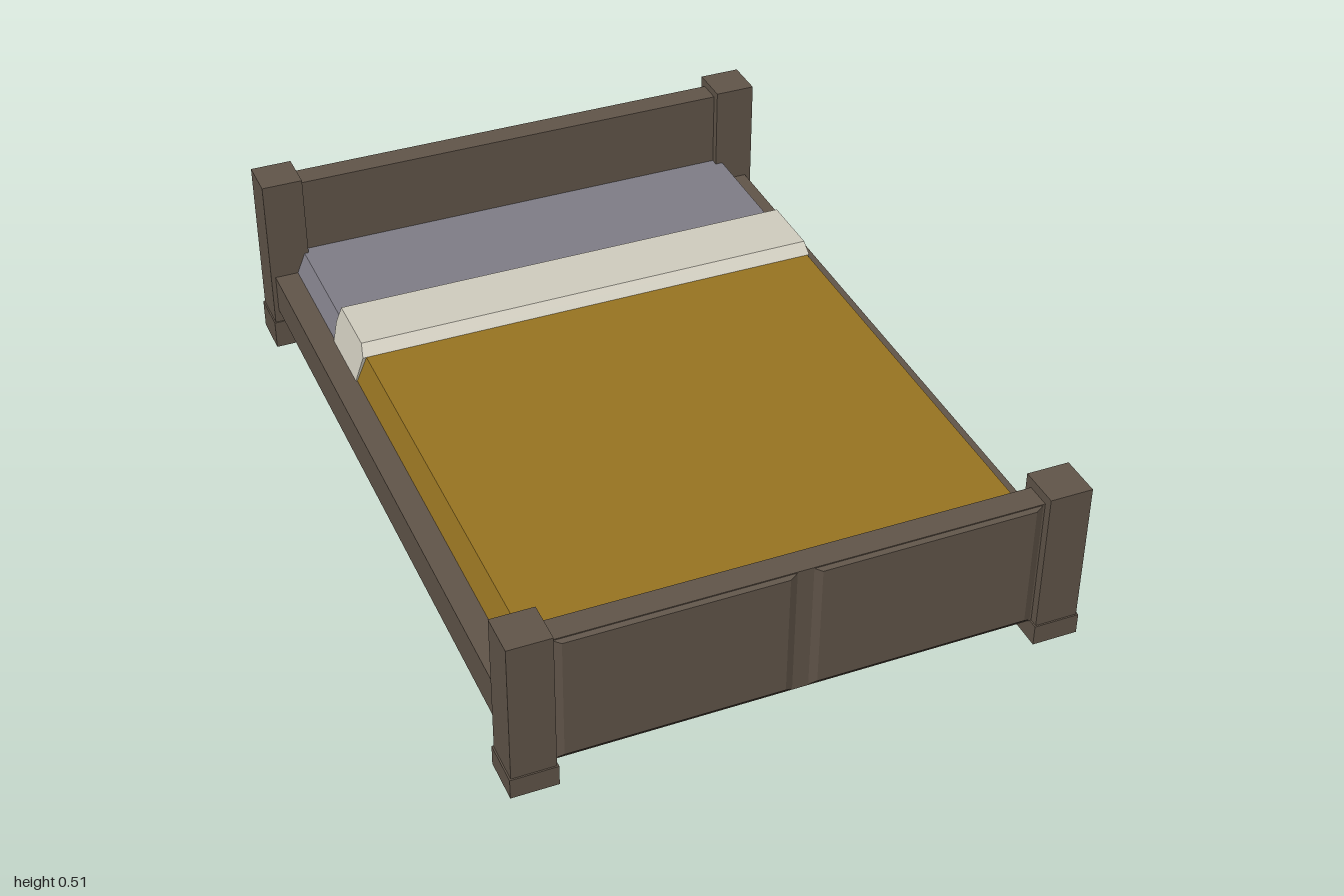
import * as THREE from 'three';

const wood = new THREE.MeshStandardMaterial({ color: 0x62564a });
const blanketOchre = new THREE.MeshStandardMaterial({ color: 0x997522 });
const sheetGrey = new THREE.MeshStandardMaterial({ color: 0x807e88 });
const linenCream = new THREE.MeshStandardMaterial({ color: 0xd2cec0 });
for (const [m, n] of [[wood, 'wood'], [blanketOchre, 'blanket ochre'], [sheetGrey, 'sheet grey'], [linenCream, 'linen cream']]) m.name = n;

// Box given by its limits
function box(name, mat, [x0, x1], [y0, y1], [z0, z1]) {
  const g = new THREE.BoxGeometry(x1 - x0, y1 - y0, z1 - z0);
  g.translate((x0 + x1) / 2, (y0 + y1) / 2, (z0 + z1) / 2);
  const mesh = new THREE.Mesh(g, mat);
  mesh.name = name;
  return mesh;
}

// Move every vertex by a rule and refresh the flat normals
function reshape(mesh, rule) {
  const p = mesh.geometry.attributes.position;
  const v = new THREE.Vector3();
  for (let i = 0; i < p.count; i++) {
    rule(v.fromBufferAttribute(p, i));
    p.setXYZ(i, v.x, v.y, v.z);
  }
  mesh.geometry.computeVertexNormals();
  return mesh;
}

// Square post standing in a slightly wider hollow foot
function post(name, x, z, height, footHeight) {
  const group = new THREE.Group();
  group.name = name;
  group.add(box('postShaft', wood, [x - 0.055, x + 0.055], [0.03, height], [z - 0.055, z + 0.055]));
  const r = 0.059, i = 0.045;
  const s = new THREE.Shape([[-r, -r], [r, -r], [r, r], [-r, r]].map(p => new THREE.Vector2(...p)));
  s.holes.push(new THREE.Path([[-i, -i], [-i, i], [i, i], [i, -i]].map(p => new THREE.Vector2(...p))));
  const foot = new THREE.Mesh(new THREE.ExtrudeGeometry(s, { depth: footHeight, bevelEnabled: false }), wood);
  foot.geometry.rotateX(-Math.PI / 2);
  foot.position.set(x, 0, z);
  foot.name = 'postFoot';
  group.add(foot);
  return group;
}

// End board with two softly raised panels on its outer face
function endBoard(name, y0, y1) {
  const group = new THREE.Group();
  group.name = name;
  group.add(box('board', wood, [-0.615, 0.615], [y0, y1], [0.908, 0.974]));
  for (const side of [-1, 1]) {
    const cx = side * 0.3125, cy = (y0 + y1) / 2;
    const panel = box('raisedPanel', wood, [cx - 0.2975, cx + 0.2975], [y0, y1], [0.972, 0.981]);
    reshape(panel, v => {
      if (v.z < 0.98) return;
      v.x -= Math.sign(v.x - cx) * 0.025;
      v.y -= Math.sign(v.y - cy) * 0.012;
    });
    group.add(panel);
  }
  return group;
}

// Bedding narrows in x as it rises from yBase to yTop
const narrow = (mesh, yBase, yTop) => reshape(mesh, v => {
  const t = (v.y - yBase) / (yTop - yBase);
  v.x += v.x < 0 ? 0.025 * t : -0.012 * t;
});

export function createModel() {
  const bed = new THREE.Group();
  bed.name = 'bed';

  // Posts and side rails
  for (const [side, label] of [[1, 'left'], [-1, 'right']]) {
    bed.add(post(label + 'FrontPost', side * 0.664, 0.941, 0.435, 0.055));
    bed.add(post(label + 'BackPost', side * 0.664, -0.941, 0.512, 0.08));
    const mid = side > 0 ? 0.67 : -0.675;
    bed.add(box(label + 'SideRail', wood, [mid - 0.032, mid + 0.032], [0.118, 0.225], [-0.9, 0.9]));
  }

  // Footboard and headboard
  bed.add(endBoard('footboard', 0.055, 0.41));
  const head = endBoard('headboard', 0.07, 0.492);
  head.rotation.y = Math.PI;
  bed.add(head);

  // Mattress sheet and blanket
  const width = [-0.645, 0.641];
  bed.add(narrow(box('mattressSheet', sheetGrey, width, [0.222, 0.282], [-0.91, -0.345]), 0.222, 0.282));
  const blanket = narrow(box('blanket', blanketOchre, width, [0.222, 0.305], [-0.344, 0.91]), 0.222, 0.305);
  reshape(blanket, v => { if (v.z < 0 && v.y > 0.3) v.z += 0.02; });
  bed.add(blanket);

  // Folded-back linen band, side profile extruded across the bed
  const profile = [[-0.34, 0.226], [-0.322, 0.305], [-0.35, 0.332], [-0.525, 0.332], [-0.541, 0.28], [-0.535, 0.226]];
  const shape = new THREE.Shape(profile.map(([z, y]) => new THREE.Vector2(-z, y)));
  const fold = new THREE.Mesh(new THREE.ExtrudeGeometry(shape, { depth: 1.292, bevelEnabled: false }), linenCream);
  fold.geometry.rotateY(Math.PI / 2);
  fold.geometry.translate(-0.648, 0, 0);
  fold.name = 'linenFold';
  bed.add(narrow(fold, 0.226, 0.332));

  return bed;
}
